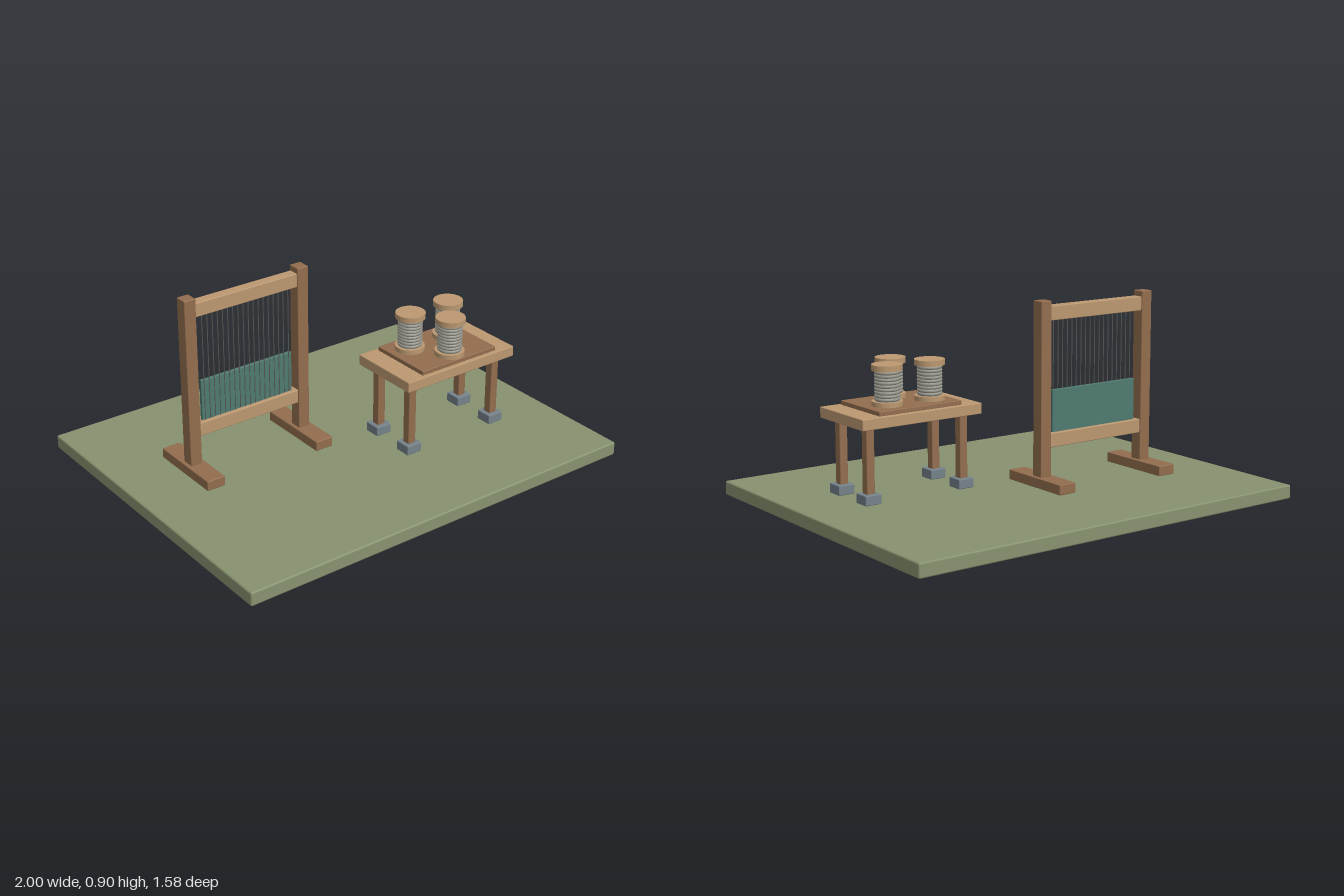
import * as THREE from 'three';
import { RoundedBoxGeometry } from 'three/addons/geometries/RoundedBoxGeometry.js';

const paint = (color) => new THREE.MeshStandardMaterial({ color });

export function createModel() {
  const model = new THREE.Group();
  const darkWood = paint(0x936d4e), lightWood = paint(0xbb9870), grass = paint(0x87926f);
  const cloth = paint(0x4f7a70), stone = paint(0x75828a), yarn = paint(0x96968c), thread = paint(0x5a5a55);

  function group(name, x, z) {
    const g = new THREE.Group();
    g.name = name;
    g.position.set(x, 0, z);
    model.add(g);
    return g;
  }
  function add(parent, name, geometry, material, x, y, z) {
    const mesh = new THREE.Mesh(geometry, material);
    mesh.name = name;
    mesh.position.set(x, y, z);
    parent.add(mesh);
    return mesh;
  }
  // Box with slightly softened edges, placed between heights y0 and y1
  function box(parent, name, material, w, d, y0, y1, x = 0, z = 0, soft = 0.004) {
    const geometry = new RoundedBoxGeometry(w, y1 - y0, d, 1, soft);
    return add(parent, name, geometry, material, x, (y0 + y1) / 2, z);
  }

  // Ground slab
  box(model, 'base', grass, 2, 1.58, 0, 0.065, 0, 0, 0.008);

  // Weaving frame
  const loom = group('loom', -0.382, -0.14);
  for (const side of [-1, 1]) {
    box(loom, 'loomFoot', darkWood, 0.09, 0.37, 0.065, 0.112, side * 0.29);
    box(loom, 'loomPost', darkWood, 0.057, 0.06, 0.11, 0.9, side * 0.29);
  }
  box(loom, 'topBeam', lightWood, 0.526, 0.05, 0.81, 0.875);
  box(loom, 'bottomBeam', lightWood, 0.526, 0.05, 0.24, 0.305);
  box(loom, 'wovenCloth', cloth, 0.476, 0.016, 0.3, 0.497, 0, 0, 0.002);

  // Warp threads running down the front of the cloth
  const threads = 18;
  const warp = new THREE.CylinderGeometry(0.0022, 0.0022, 0.52, 6);
  for (let i = 0; i < threads; i++) {
    const x = -0.223 + (0.446 * i) / (threads - 1);
    add(loom, 'warpThread', warp, thread, x, 0.56, 0.008);
  }

  // Table
  const table = group('table', 0.447, 0.172);
  box(table, 'tableTop', lightWood, 0.615, 0.354, 0.4, 0.45);
  box(table, 'tray', darkWood, 0.425, 0.316, 0.448, 0.47);
  for (const sx of [-1, 1]) {
    for (const sz of [-1, 1]) {
      box(table, 'tableLeg', darkWood, 0.04, 0.04, 0.1, 0.402, sx * 0.242, sz * 0.11);
      box(table, 'legBlock', stone, 0.08, 0.08, 0.065, 0.11, sx * 0.242, sz * 0.11);
    }
  }

  // Spools wound with yarn
  const flange = new THREE.CylinderGeometry(0.068, 0.068, 0.025, 28);
  const core = new THREE.CylinderGeometry(0.051, 0.051, 0.14, 28);
  const winding = new THREE.TorusGeometry(0.049, 0.0078, 8, 28).rotateX(Math.PI / 2);
  for (const [x, z] of [[0.335, 0.115], [0.555, 0.115], [0.445, 0.261]]) {
    const spool = group('spool', x, z);
    add(spool, 'lowerFlange', flange, lightWood, 0, 0.4785, 0);
    add(spool, 'upperFlange', flange, lightWood, 0, 0.638, 0);
    add(spool, 'spoolCore', core, yarn, 0, 0.558, 0);
    for (let i = 0; i < 9; i++) add(spool, 'yarnWinding', winding, yarn, 0, 0.5 + i * 0.0146, 0);
  }
  return model;
}
